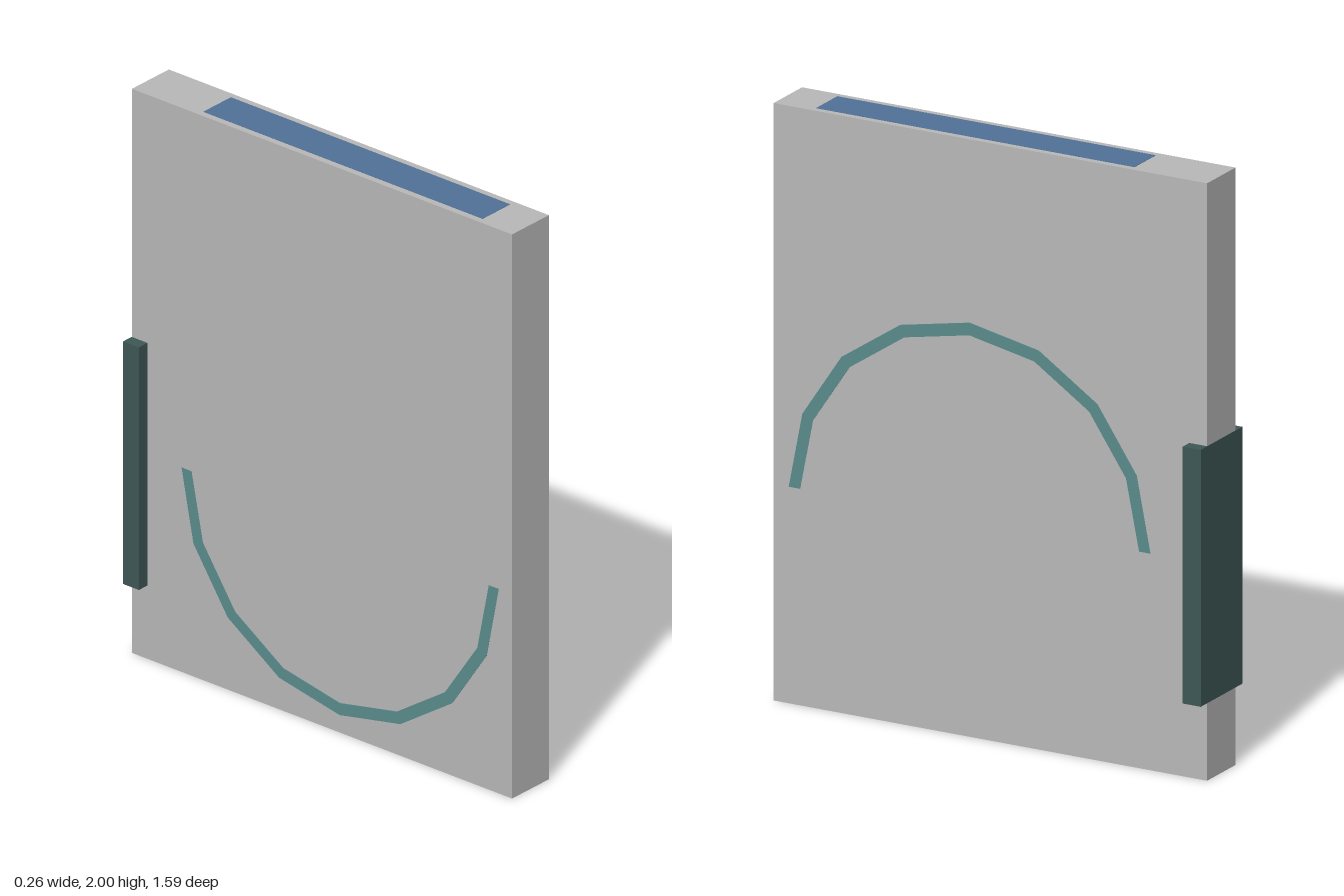
import * as THREE from 'three';

const material = (name, color) => {
  const m = new THREE.MeshStandardMaterial({ color });
  m.name = name;
  return m;
};

// 16-sided outline with a vertex straight up
function polygon(PathType, radius, sides = 16) {
  const points = [];
  for (let i = 0; i < sides; i++) {
    const a = (i / sides) * Math.PI * 2;
    points.push(new THREE.Vector2(Math.cos(a) * radius, Math.sin(a) * radius));
  }
  return new PathType(points);
}

export function createModel() {
  const model = new THREE.Group();
  const grey = material('slab grey', 0xb8b8b8);
  const darkGreen = material('dark green', 0x3d5755);
  const teal = material('teal', 0x5a8c8c);
  const blue = material('blue', 0x4f7197);

  const add = (name, geometry, mat, x, y, z) => {
    const mesh = new THREE.Mesh(geometry, mat);
    mesh.name = name;
    mesh.position.set(x, y, z);
    model.add(mesh);
    return mesh;
  };

  // Upright slab
  add('body', new THREE.BoxGeometry(0.18, 2, 1.586), grey, 0, 1, 0);

  // Grip wrapped across the back edge
  add('backGrip', new THREE.BoxGeometry(0.264, 0.86, 0.066), darkGreen, 0, 0.69, -0.761);

  // Inlaid plate on the top edge
  add('topPlate', new THREE.BoxGeometry(0.134, 0.004, 1.165), blue, 0, 1.999, 0.068);

  // Ring set through the slab, leaning slightly so that its upper half
  // surfaces on one side and its lower half on the other
  const outline = polygon(THREE.Shape, 0.662);
  outline.holes.push(polygon(THREE.Path, 0.62));
  const ringGeometry = new THREE.ExtrudeGeometry(outline, {
    depth: 0.18, bevelEnabled: false, curveSegments: 1,
  });
  ringGeometry.translate(0, 0, -0.09);
  ringGeometry.rotateY(Math.PI / 2);
  const ring = add('ring', ringGeometry, teal, 0, 0.725, 0.076);
  ring.rotation.z = -0.004;

  return model;
}
